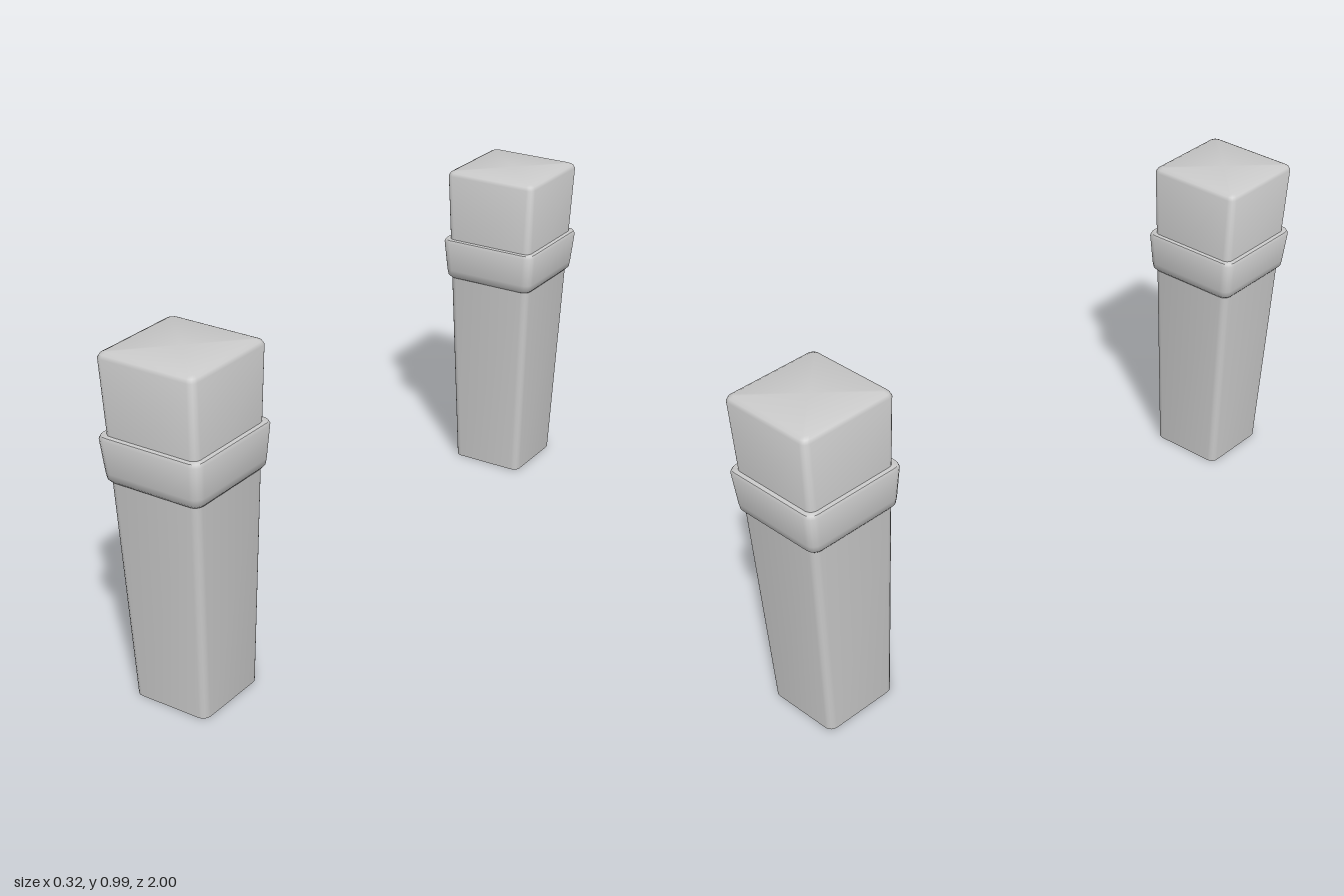
import * as THREE from 'three';
import { toCreasedNormals } from 'three/addons/utils/BufferGeometryUtils.js';

// Outline of a square with rounded corners, counted from +x towards +z
function roundedSquare(half, radius, steps = 4) {
  const points = [];
  for (let corner = 0; corner < 4; corner++) {
    const mid = Math.PI / 4 + corner * Math.PI / 2;
    const cx = Math.sign(Math.cos(mid)) * (half - radius);
    const cz = Math.sign(Math.sin(mid)) * (half - radius);
    for (let i = 0; i <= steps; i++) {
      const a = (corner + i / steps) * Math.PI / 2;
      points.push([cx + radius * Math.cos(a), cz + radius * Math.sin(a)]);
    }
  }
  return points;
}

// Joins rounded squares, given as [y, half width, corner radius], with optional end caps
function loft(sections, capped) {
  const positions = [], index = [];
  let n = 0;
  for (const [y, half, radius] of sections) {
    const outline = roundedSquare(half, radius);
    n = outline.length;
    for (const [x, z] of outline) positions.push(x, y, z);
  }
  for (let s = 0; s < sections.length - 1; s++) {
    for (let i = 0; i < n; i++) {
      const a = s * n + i, b = s * n + (i + 1) % n;
      index.push(a, a + n, b, b, a + n, b + n);
    }
  }
  if (capped) {
    const top = (sections.length - 1) * n, centre = positions.length / 3;
    positions.push(0, sections[0][0], 0, 0, sections[sections.length - 1][0], 0);
    for (let i = 0; i < n; i++) {
      const j = (i + 1) % n;
      index.push(centre, i, j, centre + 1, top + j, top + i);
    }
  }
  const geometry = new THREE.BufferGeometry();
  geometry.setAttribute('position', new THREE.Float32BufferAttribute(positions, 3));
  geometry.setIndex(index);
  return toCreasedNormals(geometry, Math.PI / 3);
}

export function createModel() {
  const model = new THREE.Group();
  model.name = 'taperedLegs';
  const material = new THREE.MeshStandardMaterial({ color: 0xcccccc });

  // Tapered shaft with a bevelled top
  const shaftGeometry = loft([
    [0, 0.116, 0.022],
    [0.64, 0.139, 0.022],
    [0.975, 0.151, 0.02],
    [0.985, 0.146, 0.018],
    [0.99, 0.136, 0.015],
  ], true);

  // Flared band with softened edges, closed against the shaft
  const collarGeometry = loft([
    [0.638, 0.135, 0.022],
    [0.638, 0.142, 0.024],
    [0.646, 0.149, 0.026],
    [0.665, 0.152, 0.027],
    [0.757, 0.16, 0.028],
    [0.766, 0.156, 0.026],
    [0.767, 0.14, 0.022],
  ], false);

  // One leg at the front, one at the back
  for (const [name, z] of [['frontLeg', 0.84], ['backLeg', -0.84]]) {
    const leg = new THREE.Group();
    leg.name = name;
    const shaft = new THREE.Mesh(shaftGeometry, material);
    shaft.name = 'shaft';
    const collar = new THREE.Mesh(collarGeometry, material);
    collar.name = 'collar';
    leg.add(shaft, collar);
    leg.position.z = z;
    model.add(leg);
  }
  return model;
}
